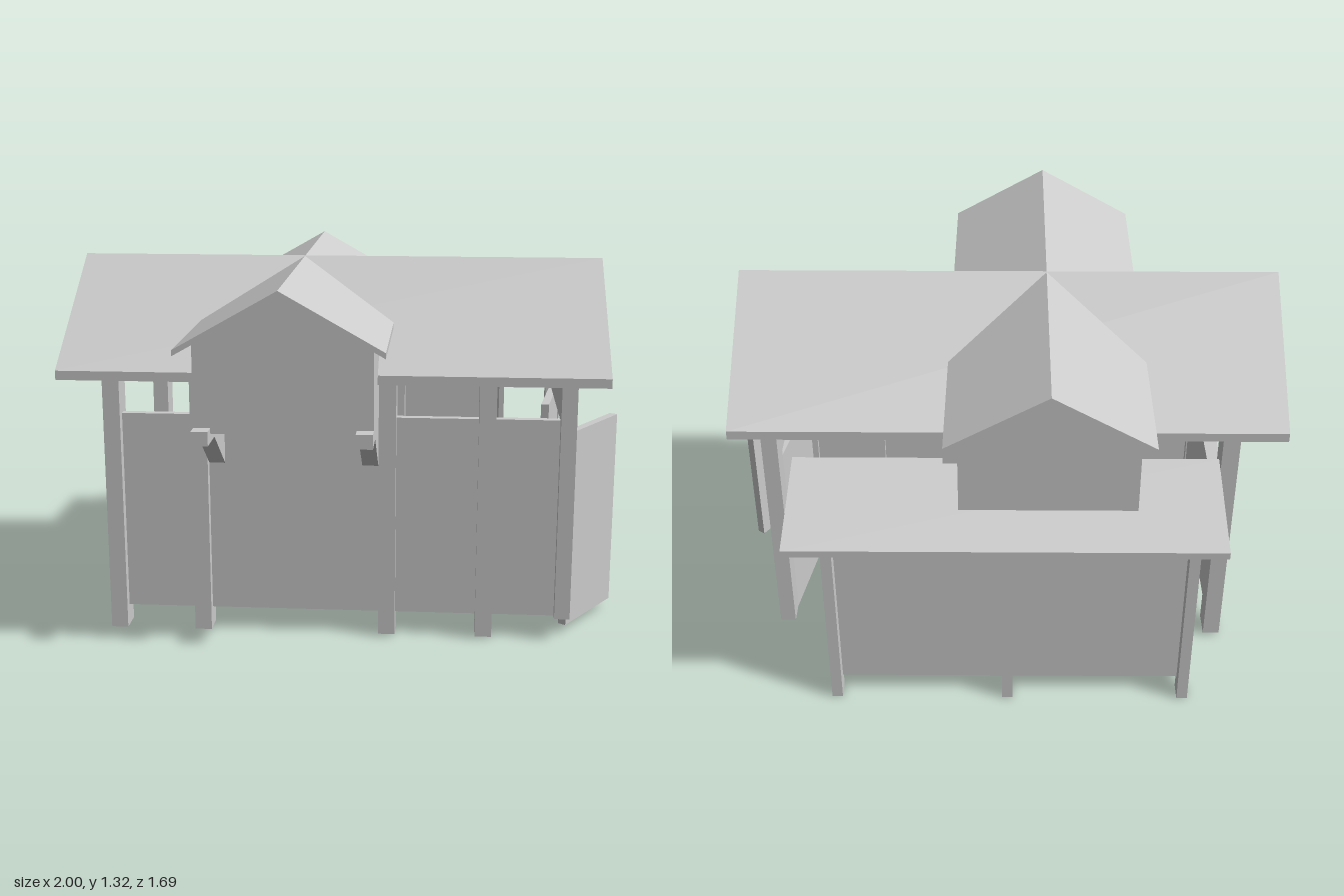
import * as THREE from 'three';

const mat = new THREE.MeshStandardMaterial({ color: 0xcccccc, flatShading: true, side: THREE.DoubleSide });

export function createModel() {
  const root = new THREE.Group();

  const add = (name, geo) => {
    const m = new THREE.Mesh(geo, mat);
    m.name = name;
    root.add(m);
    return m;
  };
  // box from its limits on each axis
  const box = (name, x0, x1, y0, y1, z0, z1) =>
    add(name, new THREE.BoxGeometry(x1 - x0, y1 - y0, z1 - z0)
      .translate((x0 + x1) / 2, (y0 + y1) / 2, (z0 + z1) / 2));
  const extrude = (pts, depth) => new THREE.ExtrudeGeometry(
    new THREE.Shape(pts.map(p => new THREE.Vector2(p[0], p[1]))), { depth, bevelEnabled: false });
  // profile of (z, y) points swept along x
  const prismX = (name, pts, x0, x1) =>
    add(name, extrude(pts.map(([z, y]) => [-z, y]), x1 - x0).rotateY(Math.PI / 2).translate(x0, 0, 0));
  // profile of (x, y) points swept along z
  const prismZ = (name, pts, z0, z1) => add(name, extrude(pts, z1 - z0).translate(0, 0, z0));
  // gable roof outline of constant vertical thickness
  const chevron = (c, half, ridge, eave, t) => [
    [c - half, eave], [c, ridge], [c + half, eave],
    [c + half, eave - t], [c, ridge - t], [c - half, eave - t]];

  // main roof with a gable at each end
  prismX('mainRoof', chevron(-0.008, 0.514, 1.325, 0.98, 0.033), -1, 0.93);
  const gable = [[0.5, 0.947], [-0.008, 1.292], [-0.516, 0.947]];
  prismX('leftGable', gable, 0.79, 0.82);
  prismX('rightGable', gable, -0.84, -0.81);
  box('doorHeader', 0.78, 0.81, 0.765, 0.95, -0.41, 0.39);

  // cross roof over the loft
  prismZ('crossRoof', chevron(-0.172, 0.346, 1.323, 1.127, 0.02), -0.82, 0.845);
  prismZ('loft', [[-0.475, 0.82], [0.13, 0.82], [0.13, 1.131], [-0.172, 1.303], [-0.475, 1.131]],
    -0.745, 0.727);

  // loft beams with diagonal brackets
  for (const x of [-0.475, 0.073]) {
    box('loftBeam', x, x + 0.057, 0.79, 0.84, 0.4, 0.78);
    prismX('loftBracket', [[0.65, 0.792], [0.41, 0.792], [0.41, 0.62]], x, x + 0.057);
  }

  // front posts and wall
  for (const x of [-0.815, -0.505, 0.163, 0.512])
    box('frontPost', x - 0.03, x + 0.03, 0.015, 0.96, 0.375, 0.47);
  box('frontWall', -0.8, 0.8, 0.09, 0.815, 0.405, 0.435);

  // back posts and the door-end corner posts
  for (const x of [-0.815, 0.163])
    box('backPost', x - 0.03, x + 0.03, 0.015, 0.96, -0.476, -0.38);
  box('frontCornerPost', 0.765, 0.82, 0.09, 0.96, 0.38, 0.47);
  box('backCornerPost', 0.765, 0.82, 0.09, 0.96, -0.497, -0.41);

  // half wall at the open end
  box('halfWall', -0.84, -0.79, 0.1, 0.595, -0.38, 0.38);

  // two doors, each standing between a hinge and a tip in plan
  const door = (name, hx, hz, tx, tz) => {
    const m = add(name, new THREE.BoxGeometry(Math.hypot(tx - hx, tz - hz), 0.725, 0.03));
    m.position.set((hx + tx) / 2, 0.398, (hz + tz) / 2);
    m.rotation.y = Math.atan2(hz - tz, tx - hx);
  };
  door('frontDoor', 0.8, 0.38, 0.985, 0.092);
  door('backDoor', 0.8, -0.41, 0.74, -0.035);

  // lean-to at the back
  prismX('leanToRoof', [[-0.45, 0.82], [-0.85, 0.724], [-0.85, 0.698], [-0.45, 0.794]], -0.78, 0.725);
  for (const x of [-0.672, -0.037, 0.58])
    box('leanToPost', x - 0.019, x + 0.019, 0.005, 0.71, -0.81, -0.745);
  box('leanToBackWall', -0.69, 0.598, 0.07, 0.715, -0.765, -0.745);
  const side = [[-0.44, 0.06], [-0.44, 0.78], [-0.75, 0.708], [-0.75, 0.06]];
  for (const x of [-0.69, 0.578]) prismX('leanToSideWall', side, x, x + 0.02);

  return root;
}
